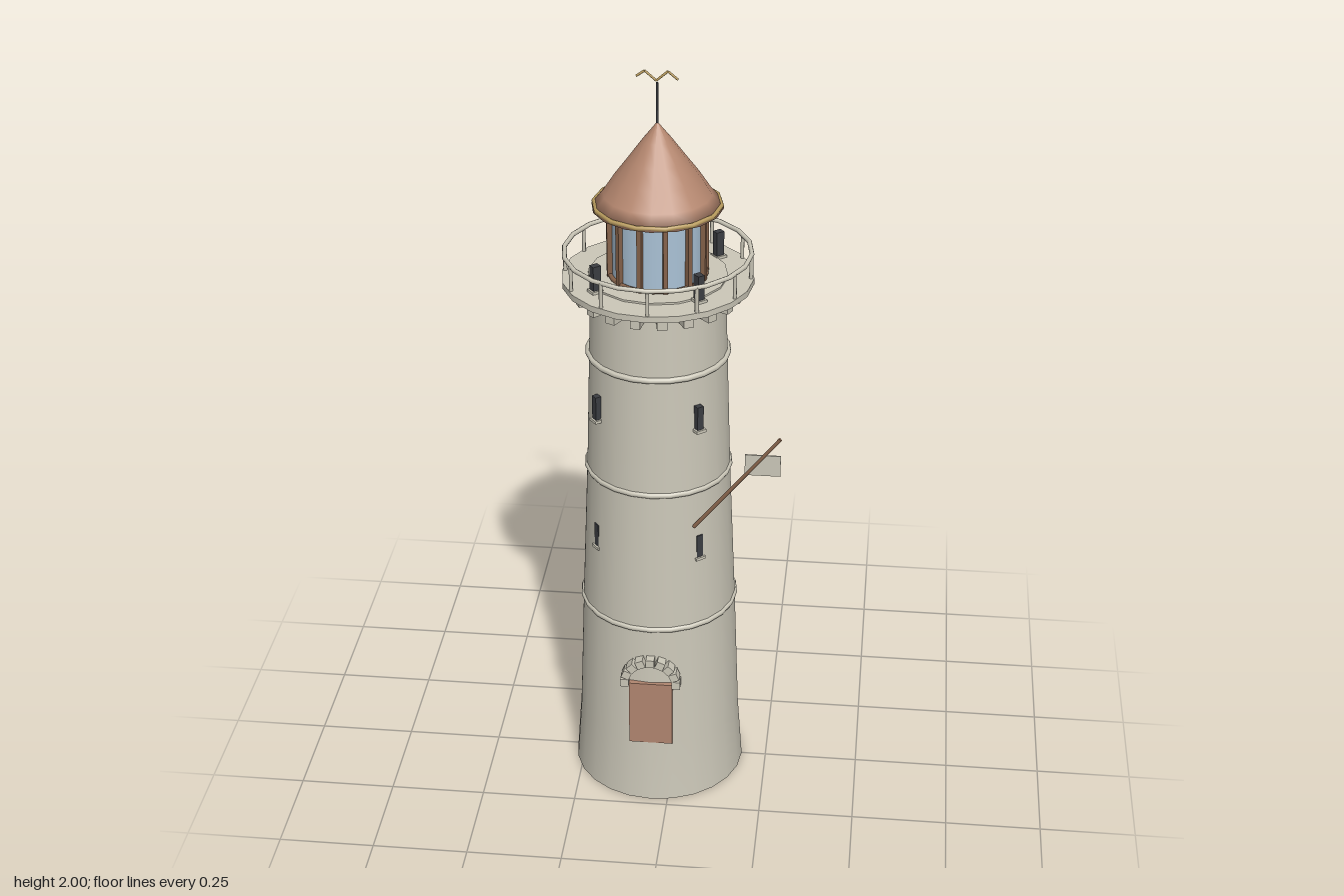
import * as THREE from 'three';

const mat = (name, color, side = THREE.FrontSide) => {
  const m = new THREE.MeshStandardMaterial({ color, side });
  m.name = name;
  return m;
};

export function createModel() {
  const stone = mat('stone', 0xcbc7b8, THREE.DoubleSide);
  const roofClay = mat('roof clay', 0xb5876f, THREE.DoubleSide);
  const doorWood = mat('door wood', 0xb0856f);
  const bronze = mat('bronze', 0x85624a);
  const glass = mat('glass', 0xaac2d6);
  const gold = mat('gold', 0xb99c5e);
  const dark = mat('dark iron', 0x3b3d42);

  const model = new THREE.Group();
  model.name = 'lighthouse';
  const tower = new THREE.Group();
  tower.name = 'tower';
  tower.position.x = -0.045;
  model.add(tower);

  const add = (name, geo, material, x = 0, y = 0, z = 0, parent = tower) => {
    const m = new THREE.Mesh(geo, material);
    m.name = name;
    m.position.set(x, y, z);
    parent.add(m);
    return m;
  };
  const lathe = (pts, n) => new THREE.LatheGeometry(pts.map(p => new THREE.Vector2(...p)), n);
  const ring = (name, r, t, y, material, n = 24) => {
    add(name, new THREE.TorusGeometry(r, t, 8, n), material, 0, y).rotation.x = Math.PI / 2;
  };
  // Places something at angle a around the axis, its local z pointing outwards
  const around = (name, geo, material, a, r, y) => {
    const m = add(name, geo, material, Math.cos(a) * r, y, Math.sin(a) * r);
    m.rotation.y = Math.PI / 2 - a;
  };
  // Round bar between two points
  const bar = (name, a, b, r, material, parent = tower) => {
    const p = new THREE.Vector3(...a), q = new THREE.Vector3(...b);
    const d = q.clone().sub(p);
    const m = add(name, new THREE.CylinderGeometry(r, r, d.length(), 8), material, 0, 0, 0, parent);
    m.position.copy(p).add(q).multiplyScalar(0.5);
    m.quaternion.setFromUnitVectors(new THREE.Vector3(0, 1, 0), d.normalize());
  };

  // Tapering shaft, open below, with three bands
  add('shaft', lathe([[0.229, 0], [0.216, 0.18], [0.203, 0.53], [0.186, 0.93], [0.176, 1.25], [0.17, 1.45]], 24), stone);
  ring('band', 0.201, 0.008, 0.533, stone);
  ring('band', 0.184, 0.008, 0.93, stone);
  ring('band', 0.177, 0.008, 1.255, stone);

  // Gallery slab on corbels
  add('gallerySlab', new THREE.CylinderGeometry(0.24, 0.24, 0.016, 20), stone, 0, 1.454);
  add('galleryCurb', new THREE.CylinderGeometry(0.175, 0.175, 0.006, 16), stone, 0, 1.464);
  for (let i = 0; i < 20; i++) {
    around('corbel', new THREE.BoxGeometry(0.025, 0.036, 0.05), stone, (i + 0.5) / 20 * Math.PI * 2, 0.187, 1.43);
  }

  // Railing
  ring('handrail', 0.233, 0.006, 1.527, stone, 20);
  for (let i = 0; i < 12; i++) {
    around('railPost', new THREE.CylinderGeometry(0.005, 0.005, 0.07, 6), stone, i / 12 * Math.PI * 2, 0.232, 1.493);
  }

  // Slit windows with sills, four on each of three levels
  for (const y of [0.765, 1.14, 1.5]) {
    for (let i = 0; i < 4; i++) {
      const a = 0.883 + i * Math.PI / 2;
      around('slitWindow', new THREE.BoxGeometry(0.018, 0.066, 0.022), dark, a, 0.182, y);
      around('windowSill', new THREE.BoxGeometry(0.028, 0.008, 0.03), stone, a, 0.183, y - 0.035);
    }
  }

  // Lantern room
  add('lanternGlass', new THREE.CylinderGeometry(0.115, 0.115, 0.19, 24), glass, 0, 1.557);
  for (let i = 0; i < 12; i++) {
    around('lanternBar', new THREE.BoxGeometry(0.012, 0.19, 0.014), bronze, (i + 0.5) / 12 * Math.PI * 2, 0.12, 1.557);
  }
  ring('lanternRing', 0.12, 0.006, 1.47, bronze);
  ring('lanternRing', 0.12, 0.006, 1.645, bronze);

  // Flared roof with gilded eaves
  add('roof', lathe([[0.115, 1.648], [0.163, 1.648], [0.135, 1.682], [0.105, 1.728], [0.072, 1.772], [0.037, 1.82], [0.0005, 1.866]], 16), roofClay);
  ring('eavesTrim', 0.157, 0.006, 1.654, gold, 14);

  // Spire and bird-shaped vane
  bar('spire', [0, 1.85, 0], [0, 1.965, 0], 0.003, dark);
  const wing = [[-0.05, 1.98], [-0.03, 1.994], [-0.002, 1.97], [0.026, 1.994], [0.05, 1.974]];
  for (let i = 0; i < 4; i++) bar('vaneWing', [...wing[i], 0], [...wing[i + 1], 0], 0.003, gold);

  // Door under an arch of stone blocks
  add('door', new THREE.BoxGeometry(0.115, 0.19, 0.016), doorWood, 0, 0.275, 0.209);
  for (let i = 0; i < 9; i++) {
    const a = i / 8 * Math.PI;
    const block = add('archStone', new THREE.BoxGeometry(0.022, 0.022, 0.03), stone,
      Math.cos(a) * 0.068, 0.378 + Math.sin(a) * 0.064, 0.214);
    block.rotation.z = a;
  }

  // Slanted flagpole and flag
  const flag = new THREE.Group();
  flag.name = 'flagstaff';
  model.add(flag);
  bar('flagpole', [0.062, 0.828, 0.157], [0.278, 1.097, 0.157], 0.005, bronze, flag);
  add('flag', new THREE.BoxGeometry(0.09, 0.058, 0.004), stone, 0.235, 1.02, 0.157, flag);

  return model;
}
